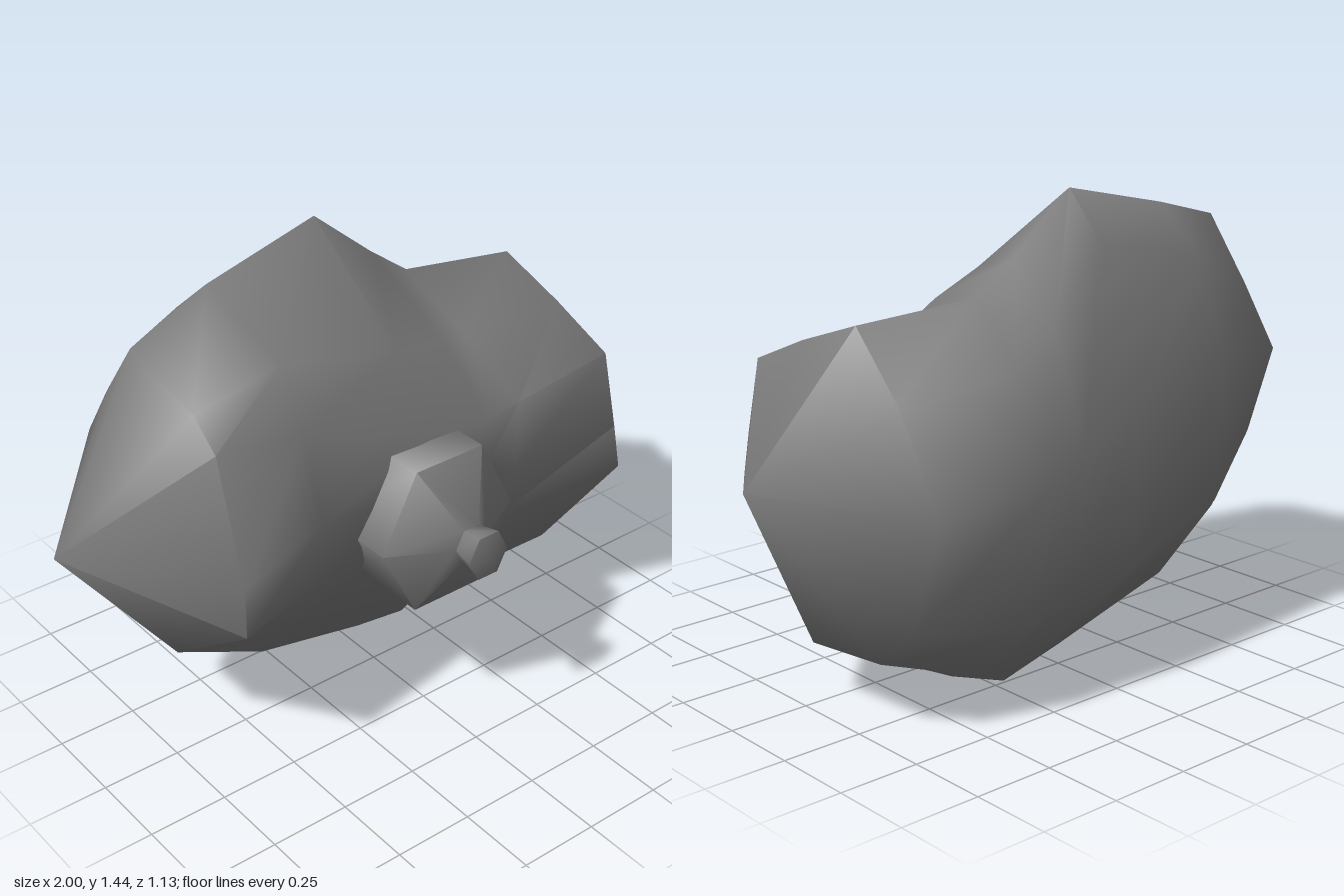
import * as THREE from 'three';
import { mergeVertices, toCreasedNormals } from 'three/addons/utils/BufferGeometryUtils.js';

const GREY = 0x7c7c7c;

// Cross-sections along x; each lists [z, y] from the crest, down the front, under, and up the back
const SECTIONS = [
  [-1, Array(10).fill([-0.17, 0.72])],
  [-0.7, [[-0.18, 1.28], [0.12, 1.21], [0.22, 1.13], [0.33, 0.76], [0.33, 0.6], [-0.04, 0.33], [-0.22, 0.34], [-0.36, 0.62], [-0.45, 0.9], [-0.33, 1.08]]],
  [-0.4, [[-0.25, 1.355], [0.1, 1.25], [0.2, 1.07], [0.28, 0.82], [0.25, 0.6], [-0.04, 0.19], [-0.28, 0.2], [-0.5, 0.49], [-0.53, 0.92], [-0.41, 1.22]]],
  [0, [[-0.28, 1.44], [0.11, 1.16], [0.26, 0.95], [0.25, 0.76], [0.16, 0.55], [-0.08, 0.08], [-0.26, 0.07], [-0.55, 0.38], [-0.56, 0.83], [-0.41, 1.3]]],
  [0.21, [[-0.28, 1.265], [0.06, 1.1], [0.27, 0.93], [0.25, 0.73], [0.15, 0.5], [-0.12, 0.02], [-0.24, 0], [-0.53, 0.34], [-0.57, 0.76], [-0.45, 1.1]]],
  [0.34, [[-0.27, 1.17], [0.01, 1.06], [0.26, 0.94], [0.26, 0.71], [0.17, 0.48], [-0.16, 0.025], [-0.3, 0.07], [-0.5, 0.27], [-0.57, 0.7], [-0.45, 1]]],
  [0.71, [[-0.22, 1.14], [0.02, 1.06], [0.24, 0.97], [0.3, 0.74], [0.33, 0.61], [0.01, 0.18], [-0.3, 0.21], [-0.44, 0.33], [-0.56, 0.68], [-0.4, 0.95]]],
  [1, Array(10).fill([-0.1, 0.71])],
];

// Skin the cross-sections into one closed surface; both ends close to a point
function loft(sections) {
  const n = sections[0][1].length;
  const positions = [];
  const index = [];
  for (const [x, loop] of sections) for (const [z, y] of loop) positions.push(x, y, z);
  for (let i = 0; i < sections.length - 1; i++) {
    for (let j = 0; j < n; j++) {
      const a = i * n + j;
      const b = i * n + (j + 1) % n;
      if (i > 0) index.push(a, b, a + n);
      if (i < sections.length - 2) index.push(b, b + n, a + n);
    }
  }
  const geometry = new THREE.BufferGeometry();
  geometry.setAttribute('position', new THREE.Float32BufferAttribute(positions, 3));
  geometry.setIndex(index);
  return toCreasedNormals(mergeVertices(geometry), 1.25);
}

export function createModel() {
  const group = new THREE.Group();
  const material = new THREE.MeshStandardMaterial({ color: GREY });

  // Rounded boulder with a notch in its crest
  const rock = new THREE.Mesh(loft(SECTIONS), material);
  rock.name = 'rock';
  group.add(rock);

  // Six-sided plug with a narrow neck and a flared tip
  const profile = [[0, 0.1], [0.24, 0.1], [0.24, 0.37], [0.055, 0.47], [0.07, 0.545], [0, 0.565]]
    .map(([r, z]) => new THREE.Vector2(r, z));
  const knobGeometry = new THREE.LatheGeometry(profile, 6, Math.PI / 2);
  knobGeometry.rotateX(Math.PI / 2).scale(1, 1.13, 1);
  const knob = new THREE.Mesh(toCreasedNormals(knobGeometry, 1.2), material);
  knob.name = 'knob';
  knob.position.set(-0.02, 0.7, 0);
  group.add(knob);

  return group;
}
